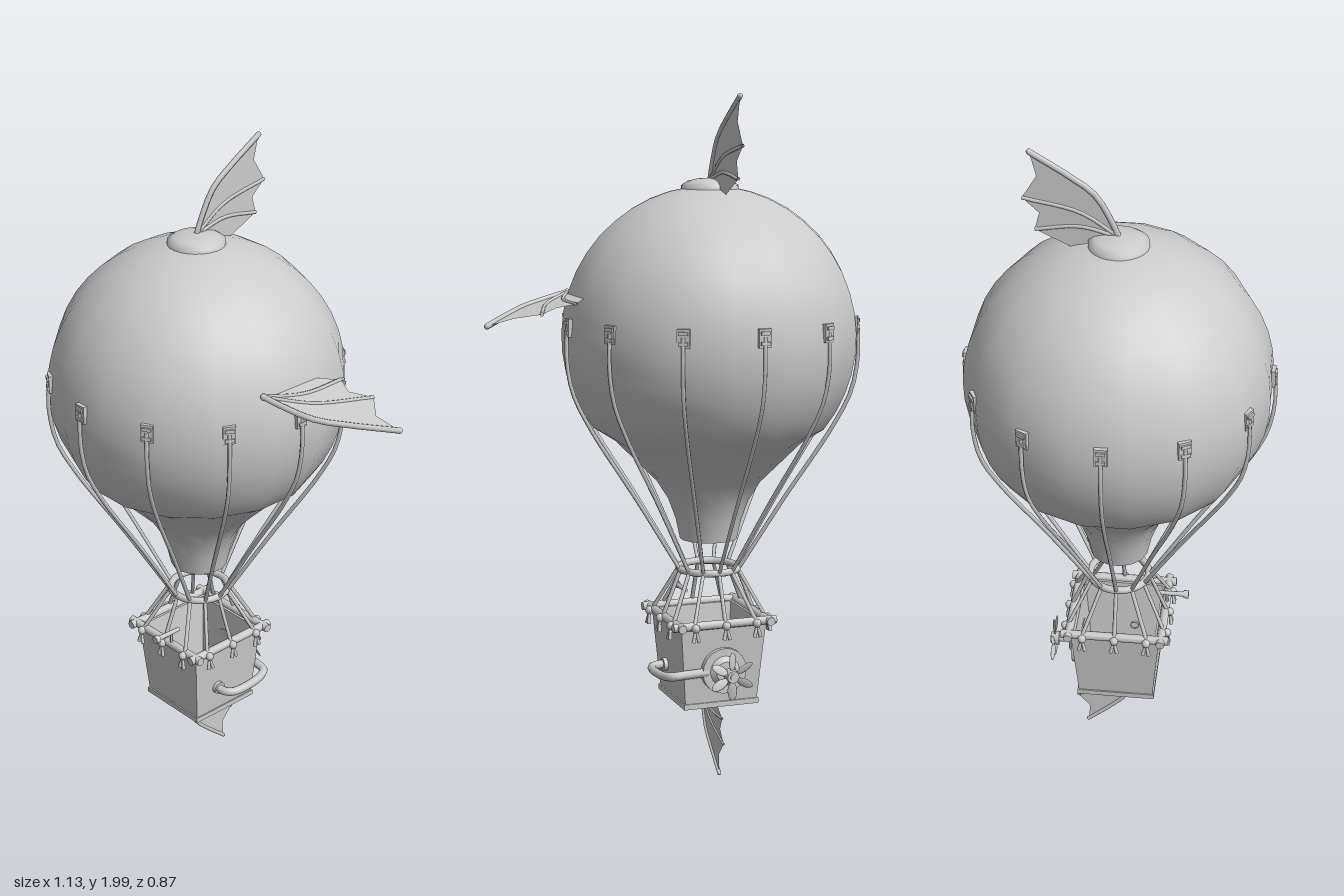
import * as THREE from 'three';

const smooth = new THREE.MeshStandardMaterial({ color: 0xcccccc, side: THREE.DoubleSide });
const flat = new THREE.MeshStandardMaterial({ color: 0xcccccc, side: THREE.DoubleSide, flatShading: true });
const V = (x, y, z) => new THREE.Vector3(x, y, z);
const V2 = (p) => new THREE.Vector2(p[0], p[1]);

function add(parent, name, geometry, material = smooth, x = 0, y = 0, z = 0) {
  const mesh = new THREE.Mesh(geometry, material);
  mesh.name = name;
  mesh.position.set(x, y, z);
  parent.add(mesh);
  return mesh;
}

function tube(parent, name, points, radius, segments = 12, sides = 6) {
  const curve = new THREE.CatmullRomCurve3(points, false, 'centripetal');
  return add(parent, name, new THREE.TubeGeometry(curve, segments, radius, sides));
}

// Straight capped rod between two points
function rod(parent, name, a, b, r1, r2 = r1, sides = 8) {
  const dir = b.clone().sub(a);
  const mesh = add(parent, name, new THREE.CylinderGeometry(r2, r1, dir.length(), sides));
  mesh.position.copy(a).lerp(b, 0.5);
  mesh.quaternion.setFromUnitVectors(V(0, 1, 0), dir.normalize());
  return mesh;
}

// Bat-like fin: local x runs backward, local y runs outward
function makeFin(name, x, y, z, roll, tilt, scale) {
  const pivot = new THREE.Group();
  pivot.name = name;
  pivot.position.set(x, y, z);
  pivot.rotation.z = -roll;
  const fin = new THREE.Group();
  fin.rotation.set(0, Math.PI / 2, tilt);
  fin.scale.setScalar(scale);
  pivot.add(fin);
  const lead = [[0, 0], [0.014, 0.055], [0.05, 0.145], [0.114, 0.21], [0.22, 0.3]];
  const trail = [[0.212, 0.22], [0.267, 0.155], [0.224, 0.1], [0.246, 0.048], [0.204, 0.018], [0.14, -0.025]];
  add(fin, 'finMembrane', new THREE.ShapeGeometry(new THREE.Shape([...lead, ...trail].map(V2))), flat);
  const bone = (pts, r) => tube(fin, 'finBone', pts.map((p) => V(p[0], p[1], 0)), r, 10);
  bone(lead, 0.009);
  bone([[0, 0], [0.1, 0.09], [0.267, 0.155]], 0.006);
  bone([[0, 0], [0.11, 0.045], [0.246, 0.048]], 0.006);
  add(fin, 'finRoot', new THREE.SphereGeometry(0.01, 8, 6));
  add(fin, 'finTip', new THREE.SphereGeometry(0.009, 8, 6), smooth, 0.22, 0.3, 0);
  return pivot;
}

export function createModel() {
  const model = new THREE.Group();
  model.name = 'hotAirBalloon';
  const body = new THREE.Group();
  body.name = 'balloonAndBasket';
  body.position.x = -0.13;
  model.add(body);

  // Envelope: neck profile blending into a sphere
  const profile = [[0.085, 0.71], [0.098, 0.77], [0.12, 0.83], [0.155, 0.885], [0.21, 0.94], [0.275, 1.005]];
  for (let a = -38; a <= 90; a += 8) {
    const t = THREE.MathUtils.degToRad(a);
    profile.push([0.43 * Math.cos(t), 1.31 + 0.43 * Math.sin(t)]);
  }
  profile.push([0.0001, 1.74]);
  add(body, 'envelope', new THREE.LatheGeometry(profile.map(V2), 16, Math.PI / 16));
  const cap = [[0.083, 1.722], [0.082, 1.742], [0.065, 1.753], [0.035, 1.76], [0.0001, 1.762]];
  add(body, 'crownCap', new THREE.LatheGeometry(cap.map(V2), 24));

  // Load ring below the neck
  const ring = add(body, 'loadRing', new THREE.TorusGeometry(0.087, 0.011, 8, 24), smooth, 0, 0.62, 0);
  ring.rotation.x = Math.PI / 2;

  // Twelve ropes with clips, lower lines and tassels
  for (let i = 0; i < 12; i++) {
    const a = (i * Math.PI) / 6;
    const at = (r, y) => V(Math.sin(a) * r, y, Math.cos(a) * r);
    tube(body, 'rope', [at(0.428, 1.35), at(0.432, 1.27), at(0.414, 1.16), at(0.36, 1.05), at(0.225, 0.84), at(0.09, 0.62)], 0.006, 20);

    const clip = new THREE.Group();
    clip.name = 'ropeClip';
    clip.position.copy(at(0.424, 1.347));
    clip.rotation.y = a;
    add(clip, 'clipPlate', new THREE.BoxGeometry(0.036, 0.052, 0.012), flat);
    for (const y of [-0.014, 0.014]) add(clip, 'clipBar', new THREE.BoxGeometry(0.026, 0.01, 0.022), flat, 0, y, 0);
    body.add(clip);

    // Side number and position along that side of the rim
    const side = Math.round(i / 3) * (Math.PI / 2);
    const off = (((i + 1) % 3) - 1) * 0.095;
    const onRim = (d, s, y) => V(Math.sin(side) * d + Math.cos(side) * s, y, Math.cos(side) * d - Math.sin(side) * s);
    rod(body, 'lowerLine', at(0.088, 0.62), onRim(0.142, off, 0.485), 0.006, 0.006, 6);
    add(body, 'knot', new THREE.SphereGeometry(0.013, 8, 6)).position.copy(onRim(0.152, off, 0.478));
    for (const s of [-1, 1]) rod(body, 'tassel', onRim(0.152, off, 0.475), onRim(0.157, off + s * 0.009, 0.438), 0.004, 0.006, 6);
  }

  // Hollow tapered basket, floor plate and rim rails
  const wall = [[0.001, 0.24], [0.112, 0.24], [0.132, 0.478], [0.118, 0.478], [0.1, 0.255], [0.001, 0.255]];
  const wallPoints = wall.map((p) => V2([p[0] * Math.SQRT2, p[1]]));
  add(body, 'basket', new THREE.LatheGeometry(wallPoints, 4, Math.PI / 4), flat);
  add(body, 'basketBase', new THREE.BoxGeometry(0.232, 0.016, 0.232), flat, 0, 0.233, 0);
  for (const s of [-1, 1]) {
    rod(body, 'rimRail', V(-0.16, 0.481, s * 0.137), V(0.16, 0.481, s * 0.137), 0.013);
    rod(body, 'rimRail', V(s * 0.137, 0.481, -0.16), V(s * 0.137, 0.481, 0.16), 0.013);
  }

  // Spyglass on the front rim
  rod(body, 'spyglassPost', V(0.03, 0.48, 0.14), V(0.03, 0.522, 0.14), 0.004);
  rod(body, 'spyglassTube', V(0.03, 0.525, 0.11), V(0.03, 0.525, 0.2), 0.006, 0.008);
  rod(body, 'spyglassLens', V(0.03, 0.525, 0.19), V(0.03, 0.525, 0.205), 0.012);

  // Engine housing, shaft and propeller on the back
  rod(body, 'engineHousing', V(0, 0.34, -0.11), V(0, 0.34, -0.14), 0.068, 0.068, 20);
  rod(body, 'engineCover', V(0, 0.34, -0.14), V(0, 0.34, -0.152), 0.045, 0.03, 20);
  rod(body, 'shaft', V(0, 0.34, -0.14), V(0, 0.34, -0.212), 0.01, 0.01, 10);
  rod(body, 'propellerHub', V(0, 0.34, -0.185), V(0, 0.34, -0.21), 0.022, 0.018, 12);
  for (let i = 0; i < 6; i++) {
    const arm = new THREE.Group();
    arm.name = 'propellerBlade';
    arm.position.set(0, 0.34, -0.2);
    arm.rotation.z = (i * Math.PI) / 3;
    const blade = add(arm, 'blade', new THREE.SphereGeometry(1, 10, 6), smooth, 0, 0.044, 0);
    blade.scale.set(0.014, 0.028, 0.003);
    blade.rotation.y = 0.4;
    body.add(arm);
  }

  // Exhaust pipe from the side wall round to the engine
  tube(body, 'exhaustPipe', [V(0.1, 0.325, 0.035), V(0.15, 0.325, 0.035), V(0.172, 0.325, 0.015), V(0.172, 0.328, -0.09),
    V(0.155, 0.333, -0.125), V(0.12, 0.336, -0.13), V(0.05, 0.338, -0.13)], 0.013, 32, 8);
  const flange = V(0.12, 0.325, 0.035);
  rod(body, 'pipeFlange', flange, flange.clone().add(V(0.012, 0, 0)), 0.02, 0.02, 12);

  // Fins: top, underside and left side
  model.add(makeFin('topFin', -0.13, 1.755, 0, 0, -0.145, 0.89));
  model.add(makeFin('bottomFin', -0.13, 0.225, 0.05, Math.PI, 0.02, 0.69));
  model.add(makeFin('sideFin', 0.265, 1.437, 0.112, Math.PI / 2 + 0.22, 0, 1));
  return model;
}
